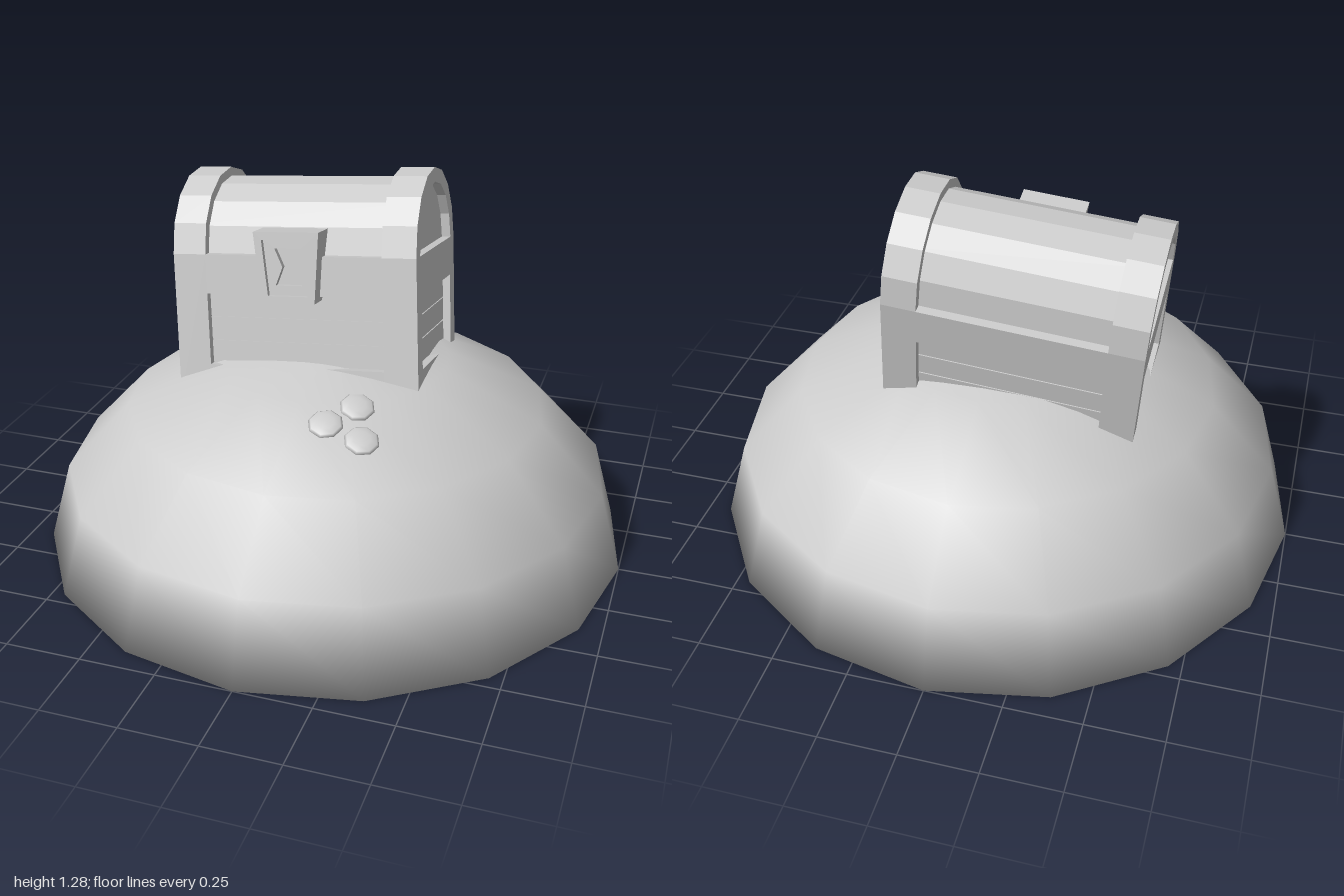
import * as THREE from 'three';

const flat = new THREE.MeshStandardMaterial({ color: 0xcccccc, flatShading: true });
const smooth = new THREE.MeshStandardMaterial({ color: 0xcccccc });

function add(parent, name, geometry, material = flat) {
  const mesh = new THREE.Mesh(geometry, material);
  mesh.name = name;
  parent.add(mesh);
  return mesh;
}

// Box given by its extents
function block(parent, name, x0, x1, y0, y1, z0, z1) {
  const g = new THREE.BoxGeometry(x1 - x0, y1 - y0, z1 - z0);
  g.translate((x0 + x1) / 2, (y0 + y1) / 2, (z0 + z1) / 2);
  return add(parent, name, g);
}

const points = (list) => list.map(([x, y]) => new THREE.Vector2(x, y));

// Straight sides from y0 up to the spring line, then an eight-sided half round
const SPRING = 0.38;
function archPoints(radius, y0) {
  const list = y0 < SPRING ? [[-radius, y0], [radius, y0]] : [];
  for (let i = 0; i <= 8; i++) {
    const a = (i / 8) * Math.PI;
    list.push([radius * Math.cos(a), SPRING + radius * Math.sin(a)]);
  }
  return points(list);
}

// Extrude a z/y profile along x
function extrudeX(shape, x0, x1) {
  const g = new THREE.ExtrudeGeometry(shape, { depth: x1 - x0, bevelEnabled: false });
  return g.rotateY(Math.PI / 2).translate(x0, 0, 0);
}

function extrudeZ(shape, z0, z1) {
  const g = new THREE.ExtrudeGeometry(shape, { depth: z1 - z0, bevelEnabled: false });
  return g.translate(0, 0, z0);
}

function buildChest() {
  const chest = new THREE.Group();
  chest.name = 'chest';
  const L = 0.413, D = 0.26, inset = 0.03, bandIn = 0.3, foot = -0.1, panelLow = 0.01, panelTop = 0.25;

  // Recessed wooden core with rounded lid
  add(chest, 'core', extrudeX(new THREE.Shape(archPoints(D - inset, foot)), -L + inset, L - inset));

  // End frames with a square opening and an arched opening
  const frame = new THREE.Shape(archPoints(D, foot));
  frame.holes.push(
    new THREE.Path(points([[-0.2, panelLow], [-0.2, panelTop], [0.2, panelTop], [0.2, panelLow]])),
    new THREE.Path(archPoints(0.212, SPRING).reverse())
  );
  add(chest, 'rightEndFrame', extrudeX(frame, -L, -bandIn));
  add(chest, 'leftEndFrame', extrudeX(frame, bandIn, L));

  // Rails and shallow planks on front and back
  const planks = 3, step = (panelTop - panelLow) / planks, gap = 0.002;
  for (const s of [1, -1]) {
    const side = s > 0 ? 'front' : 'back';
    const za = s > 0 ? 0.2 : -D, zb = s > 0 ? D : -0.2;
    block(chest, side + 'Belt', -bandIn, bandIn, panelTop, SPRING, za, zb);
    block(chest, side + 'BottomRail', -bandIn, bandIn, foot, panelLow, za, zb);
    for (let i = 0; i < planks; i++) {
      const y0 = panelLow + i * step + gap, y1 = panelLow + (i + 1) * step - gap;
      const zc = s * (D - inset), xc = s * (L - inset);
      block(chest, side + 'Plank', -bandIn, bandIn, y0, y1, zc - 0.004, zc + 0.004);
      block(chest, 'endPlank', xc - 0.004, xc + 0.004, y0, y1, -0.2, 0.2);
    }
  }

  // Tapered lock: rim, recessed plate and waisted keyhole
  const trapezoid = (top, bottom, y0, y1) => points([[-bottom, y0], [bottom, y0], [top, y1], [-top, y1]]);
  const lock = new THREE.Group();
  lock.name = 'lock';
  chest.add(lock);
  const rim = new THREE.Shape(trapezoid(0.11, 0.09, 0.235, 0.465));
  rim.holes.push(new THREE.Path(trapezoid(0.083, 0.067, 0.258, 0.44).reverse()));
  add(lock, 'lockRim', extrudeZ(rim, 0.21, 0.312));
  const plate = new THREE.Shape(trapezoid(0.085, 0.069, 0.256, 0.442));
  plate.holes.push(new THREE.Path(points([
    [-0.045, 0.29], [-0.02, 0.35], [-0.045, 0.41], [0.045, 0.41], [0.02, 0.35], [0.045, 0.29]
  ])));
  add(lock, 'lockPlate', extrudeZ(plate, 0.27, 0.295));
  add(lock, 'lockBack', extrudeZ(new THREE.Shape(trapezoid(0.085, 0.069, 0.256, 0.442)), 0.21, 0.275));

  chest.position.set(-0.08, 0.62, -0.073);
  chest.rotation.set(-Math.PI / 18, 0, Math.PI / 36);
  return chest;
}

export function createModel() {
  const model = new THREE.Group();
  model.name = 'treasureMound';

  // Squashed half-sphere mound with a closed flat base
  const profile = [new THREE.Vector2(0, 0)];
  for (let i = 0; i <= 4; i++) {
    const a = (i * Math.PI) / 8;
    profile.push(new THREE.Vector2(i === 4 ? 0 : Math.cos(a), 0.71 * Math.sin(a)));
  }
  add(model, 'mound', new THREE.LatheGeometry(profile, 16), smooth);

  model.add(buildChest());

  // Flattened coins lying on the slope
  const up = new THREE.Vector3(0, 1, 0);
  for (const [x, y, z] of [[0.107, 0.626, 0.44], [0.18, 0.65, 0.345], [0.228, 0.594, 0.455]]) {
    const coin = add(model, 'coin', new THREE.SphereGeometry(0.057, 8, 6).scale(1, 0.26, 1), smooth);
    const r = Math.hypot(x, z), tilt = 0.42;
    const normal = new THREE.Vector3((x / r) * Math.sin(tilt), Math.cos(tilt), (z / r) * Math.sin(tilt));
    coin.quaternion.setFromUnitVectors(up, normal);
    coin.position.set(x, y, z);
  }
  return model;
}
